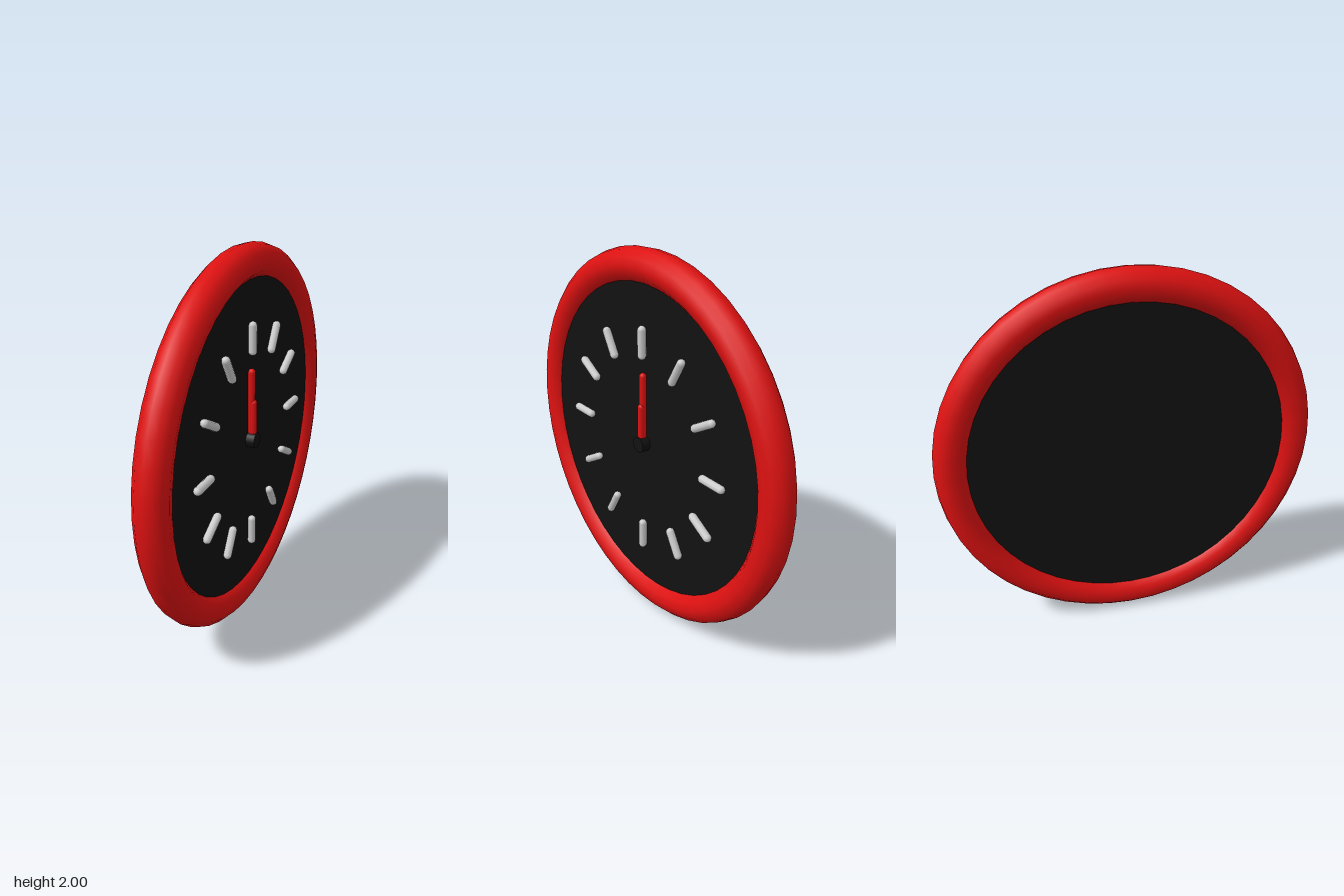
import * as THREE from 'three';

const material = (name, color) => {
  const m = new THREE.MeshStandardMaterial({ color });
  m.name = name;
  return m;
};

export function createModel() {
  const red = material('red', 0xdd1111);
  const black = material('black', 0x111111);
  const grey = material('light grey', 0xcccccc);

  const clock = new THREE.Group();
  clock.name = 'wallClock';
  const add = (name, geometry, mat, parent = clock) => {
    const mesh = new THREE.Mesh(geometry, mat);
    mesh.name = name;
    parent.add(mesh);
    return mesh;
  };

  // Round rim and dial disc, built facing +x
  add('rim', new THREE.TorusGeometry(0.913, 0.087, 12, 48).rotateY(Math.PI / 2), red).position.y = 1;
  add('dial', new THREE.CylinderGeometry(0.913, 0.913, 0.087, 48).rotateZ(Math.PI / 2), black).position.y = 1;

  // Twelve rounded hour marks
  const marks = new THREE.Group();
  marks.name = 'hourMarks';
  marks.position.set(0.063, 1, 0);
  clock.add(marks);
  const markShape = new THREE.CapsuleGeometry(0.022, 0.131, 4, 10).translate(0, 0.547, 0);
  for (let i = 0; i < 12; i++) {
    add('hourMark' + (i + 1), markShape, grey, marks).rotation.x = (i * Math.PI) / 6;
  }

  // Both hands point to twelve, the short one in front
  const hand = (name, x, bottom, top, r) => {
    const shape = new THREE.CapsuleGeometry(r, top - bottom - 2 * r, 4, 10);
    add(name, shape, red).position.set(x, (top + bottom) / 2, 0);
  };
  hand('minuteHand', 0.058, 1.02, 1.39, 0.019);
  hand('hourHand', 0.069, 1.02, 1.225, 0.019);

  // Centre hub over the hand roots
  add('hub', new THREE.CylinderGeometry(0.043, 0.043, 0.06, 16).rotateZ(Math.PI / 2), black).position.set(0.06, 1, 0);

  return clock;
}
